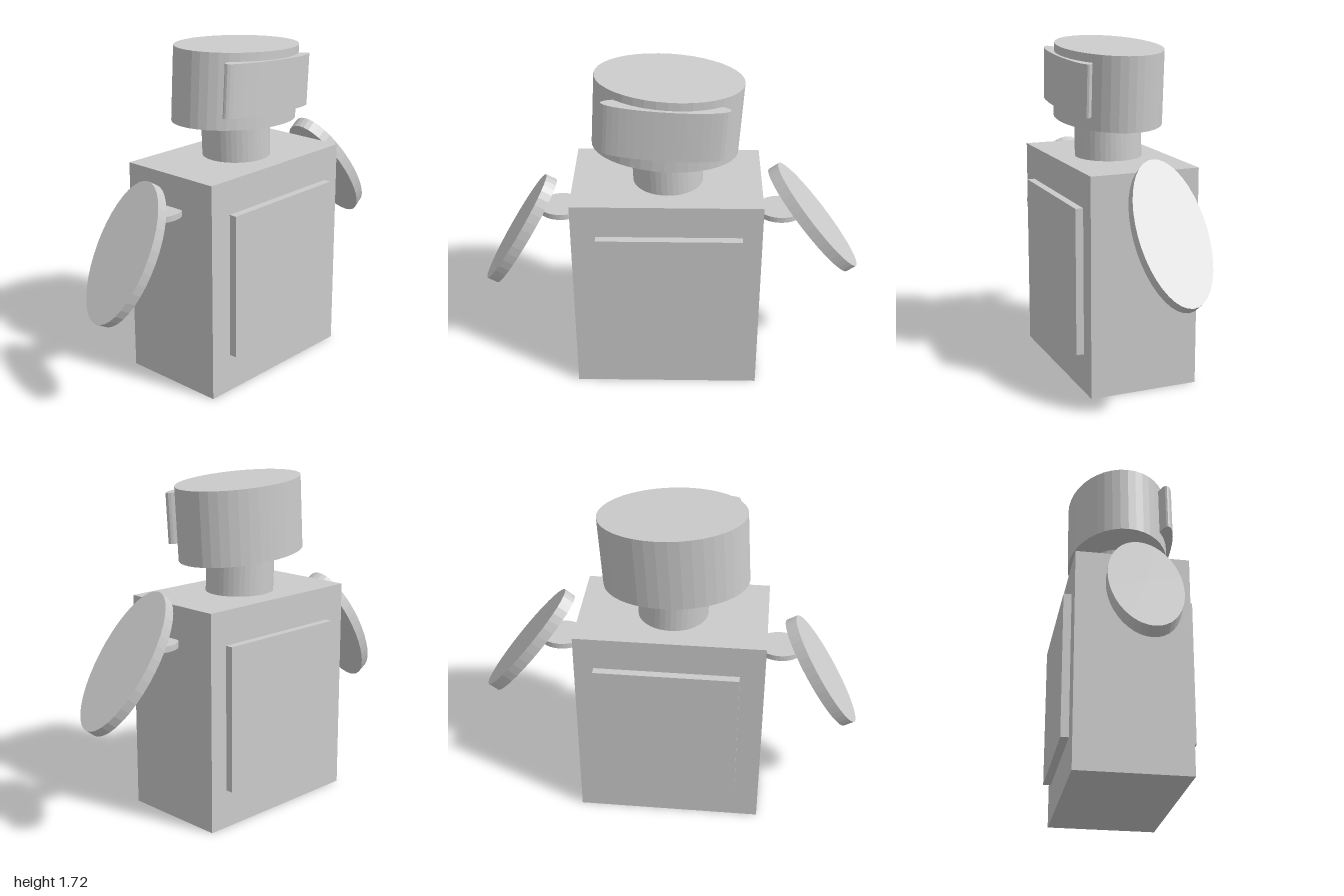
import * as THREE from 'three';

const material = new THREE.MeshStandardMaterial({ color: 0xcccccc, flatShading: true });

export function createModel() {
  const model = new THREE.Group();
  model.name = 'robot';

  const add = (name, geometry, [x, y, z], tilt = 0) => {
    const mesh = new THREE.Mesh(geometry, material);
    mesh.name = name;
    mesh.position.set(x, y, z);
    mesh.rotation.x = tilt;
    model.add(mesh);
    return mesh;
  };

  // Elliptical cylinder standing on y, with radii along x and z
  const oval = (rx, rz, height) =>
    new THREE.CylinderGeometry(1, 1, height, 40).scale(rx, 1, rz);

  // Torso with a raised panel on each side
  add('torso', new THREE.BoxGeometry(0.57, 1.125, 0.96), [0, 0.5625, 0.02]);
  for (const [side, name] of [[1, 'leftPanel'], [-1, 'rightPanel']]) {
    add(name, new THREE.BoxGeometry(0.06, 0.75, 0.735), [side * 0.295, 0.575, 0.0075]);
  }

  // Neck and head, the head leaning slightly back
  add('neck', oval(0.172, 0.178, 0.4), [0, 1.22, 0.02], 0.04);
  add('head', oval(0.2625, 0.368, 0.376), [0, 1.505, 0.02], -0.061);

  // Curved plate on the left side of the head
  add('headPlate', oval(0.061, 0.308, 0.262), [0.219, 1.52, 0.03], -0.061);

  // Front and back paddles, each held by a small rounded bracket
  add('frontBracket', oval(0.105, 0.12, 0.03), [0, 0.943, 0.57]);
  add('frontPaddle', oval(0.175, 0.36, 0.06), [0, 0.795, 0.794], 1.047);
  add('backBracket', oval(0.105, 0.12, 0.03), [0, 0.938, -0.565]);
  add('backPaddle', oval(0.177, 0.376, 0.06), [0, 0.884, -0.743], -0.922);

  return model;
}
